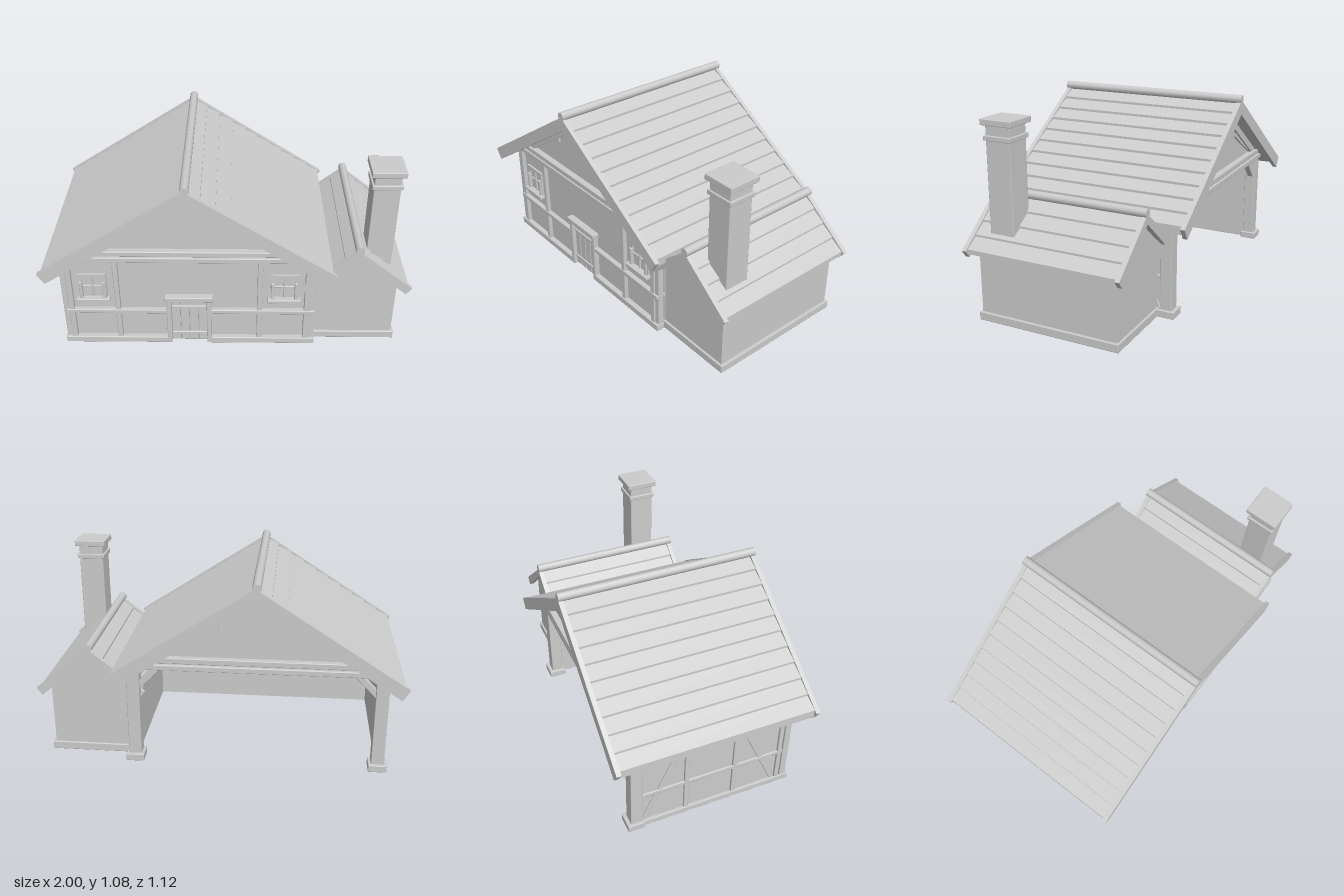
import * as THREE from 'three';
import { RoundedBoxGeometry } from 'three/addons/geometries/RoundedBoxGeometry.js';

const grey = new THREE.MeshStandardMaterial({ color: 0xcccccc });
grey.name = 'plain grey';

const HOUSE_X = -0.21, ANNEX_X = 0.7;

function group(name, parent) {
  const g = new THREE.Group();
  g.name = name;
  parent.add(g);
  return g;
}

function add(parent, name, geometry) {
  const m = new THREE.Mesh(geometry, grey);
  m.name = name;
  parent.add(m);
  return m;
}

// Softly bevelled box given by its limits on each axis
function box(parent, name, x0, x1, y0, y1, z0, z1) {
  const w = x1 - x0, h = y1 - y0, d = z1 - z0;
  const r = Math.min(0.004, Math.min(w, h, d) * 0.3);
  const m = add(parent, name, new RoundedBoxGeometry(w, h, d, 1, r));
  m.position.set((x0 + x1) / 2, (y0 + y1) / 2, (z0 + z1) / 2);
  return m;
}

// Outline in x and y, extruded from z0 to z1
function plate(parent, name, points, z0, z1, hole) {
  const shape = new THREE.Shape(points.map(p => new THREE.Vector2(...p)));
  if (hole) shape.holes.push(hole);
  const geo = new THREE.ExtrudeGeometry(shape, { depth: z1 - z0, bevelEnabled: false });
  const m = add(parent, name, geo);
  m.position.z = z0;
  return m;
}

// Slanted timber in the x-y plane
function brace(parent, name, ax, ay, bx, by, width, z0, z1) {
  const len = Math.hypot(bx - ax, by - ay);
  const m = box(parent, name, -len / 2, len / 2, -width / 2, width / 2, z0, z1);
  m.position.x = (ax + bx) / 2;
  m.position.y = (ay + by) / 2;
  m.rotation.z = Math.atan2(by - ay, bx - ax);
}

// Lapped plank roof with verge boards and a ridge pole
function roof(parent, name, cx, o) {
  const g = group(name, parent);
  g.position.x = cx;
  for (const s of [-1, 1]) {
    const pts = [];
    for (let i = 0; i < o.planks; i++) {
      const a = o.width * i / o.planks, b = o.width * (i + 1) / o.planks;
      pts.push([s * a, o.top - o.slope * a - o.lap], [s * b, o.top - o.slope * b]);
    }
    pts.push([s * o.width, o.top - o.slope * o.width - o.thick], [0, o.top - o.thick - 0.012]);
    plate(g, 'roofPlanks', pts, o.z0 + 0.02, o.z1 - 0.02);
  }
  const [apex, ex, ey, fx, fy, inner] = o.verge;
  const verge = [[0, apex], [-ex, ey], [-fx, fy], [0, inner], [fx, fy], [ex, ey]];
  plate(g, 'vergeBoard', verge, o.z0, o.z0 + 0.025);
  plate(g, 'vergeBoard', verge, o.z1 - 0.025, o.z1);
  const geo = new THREE.CylinderGeometry(0.024, 0.024, o.z1 - o.z0 + 0.002, 10).rotateX(Math.PI / 2);
  add(g, 'ridgePole', geo).position.set(0, apex + 0.005, (o.z0 + o.z1) / 2);
}

// Trim of one gable: tie beams, rafters and corner braces
function gableTrim(parent, turn) {
  const g = group('gableTrim', parent);
  g.position.x = HOUSE_X;
  g.rotation.y = turn;
  box(g, 'lowerTieBeam', -0.66, 0.66, 0.562, 0.592, 0.425, 0.48);
  box(g, 'tieBeamCore', -0.62, 0.62, 0.588, 0.61, 0.425, 0.46);
  box(g, 'upperTieBeam', -0.58, 0.58, 0.605, 0.636, 0.425, 0.485);
  const hole = new THREE.Path([[-0.48, 0.636], [0.48, 0.636], [0, 0.946]].map(p => new THREE.Vector2(...p)));
  plate(g, 'rafters', [[-0.57, 0.625], [0.57, 0.625], [0, 0.993]], 0.445, 0.472, hole);
  for (const s of [-1, 1])
    plate(g, 'cornerBrace', [[s * 0.47, 0.64], [s * 0.2, 0.815], [s * 0.2, 0.79], [s * 0.3, 0.73]], 0.448, 0.462);
}

// Arched window with cross bars and a sill
function windowUnit(parent, x, z, turn) {
  const g = group('window', parent);
  g.position.set(x, 0, z);
  g.rotation.y = turn;
  const arch = new THREE.Path();
  arch.moveTo(-0.056, 0.315);
  arch.lineTo(0.056, 0.315);
  arch.lineTo(0.056, 0.43);
  arch.quadraticCurveTo(0, 0.475, -0.056, 0.43);
  arch.closePath();
  plate(g, 'windowSurround', [[-0.078, 0.305], [0.078, 0.305], [0.078, 0.47], [-0.078, 0.47]], 0, 0.012, arch);
  for (const s of [-1, 1]) box(g, 'windowJamb', s * 0.064 - 0.009, s * 0.064 + 0.009, 0.31, 0.42, 0, 0.022);
  box(g, 'mullion', -0.005, 0.005, 0.315, 0.452, -0.002, 0.009);
  box(g, 'glazingBar', -0.056, 0.056, 0.383, 0.393, -0.002, 0.009);
  box(g, 'windowSill', -0.092, 0.092, 0.295, 0.315, -0.002, 0.036);
}

// Timber frame of a side wall, built facing +z and then turned outward
function sideFrame(parent, x, turn) {
  const g = group('sideFrame', parent);
  g.position.x = x;
  g.rotation.y = turn;
  const s = Math.sign(turn); // front of the house lies at -s in local x
  box(g, 'sideSill', -0.44, 0.44, 0, 0.036, 0, 0.02);
  box(g, 'sideRail', -0.43, 0.43, 0.21, 0.235, 0, 0.015);
  box(g, 'sidePlate', -0.43, 0.43, 0.5, 0.53, 0, 0.015);
  for (const px of [-0.41, -0.14, 0.14, 0.41]) box(g, 'sidePost', px - 0.013, px + 0.013, 0.02, 0.53, 0, 0.016);
  for (const e of [-1, 1]) brace(g, 'sideBrace', e * s * 0.38, 0.04, e * s * 0.17, 0.5, 0.025, 0, 0.013);
}

function house(root) {
  const g = group('house', root);

  // Walls, open at the back
  plate(g, 'frontWall', [[-0.89, 0], [0.47, 0], [0.47, 0.545], [HOUSE_X, 0.99], [-0.89, 0.545]], 0.43, 0.45);
  plate(g, 'backGable', [[-0.84, 0.575], [0.42, 0.575], [HOUSE_X, 0.99]], -0.45, -0.43);
  box(g, 'leftWall', -0.89, -0.87, 0, 0.565, -0.42, 0.44);
  box(g, 'rightWall', 0.45, 0.47, 0, 0.565, -0.42, 0.44);
  sideFrame(g, -0.89, -Math.PI / 2);
  sideFrame(g, 0.47, Math.PI / 2);
  gableTrim(g, 0);
  gableTrim(g, Math.PI);

  // Front timbers
  box(g, 'frontSillLeft', -0.91, -0.33, 0, 0.038, 0.43, 0.48);
  box(g, 'frontSillRight', -0.09, 0.49, 0, 0.038, 0.43, 0.48);
  box(g, 'frontRailLeft', -0.89, -0.33, 0.21, 0.235, 0.44, 0.477);
  box(g, 'frontRailRight', -0.09, 0.485, 0.21, 0.235, 0.44, 0.477);
  for (const [a, b] of [[-0.875, -0.845], [-0.616, -0.588], [0.166, 0.194], [0.425, 0.455]])
    box(g, 'frontPost', a, b, 0.03, 0.57, 0.44, 0.473);
  box(g, 'cornerPost', -0.905, -0.872, 0.03, 0.54, 0.43, 0.465);
  box(g, 'cornerPost', 0.452, 0.485, 0.03, 0.54, 0.43, 0.465);

  // Door
  const d = group('door', g);
  d.position.x = HOUSE_X;
  for (const s of [-1, 1]) box(d, 'doorPost', s * 0.111 - 0.013, s * 0.111 + 0.013, 0, 0.31, 0.44, 0.48);
  box(d, 'doorLintel', -0.133, 0.133, 0.303, 0.33, 0.44, 0.49);
  for (let i = 0; i < 4; i++) box(d, 'doorPlank', -0.099 + i * 0.05, -0.051 + i * 0.05, 0.005, 0.303, 0.44, 0.458);
  for (const y of [0.052, 0.24]) box(d, 'doorBand', -0.098, 0.098, y, y + 0.017, 0.445, 0.466);

  // Windows seen outside and inside
  for (const x of [-0.733, 0.313]) {
    windowUnit(g, x, 0.45, 0);
    windowUnit(g, x, 0.43, Math.PI);
  }

  // Rear posts with feet and knee braces
  for (const s of [-1, 1]) {
    const x = HOUSE_X + s * 0.665;
    box(g, 'rearPost', x - 0.035, x + 0.035, 0.03, 0.56, -0.455, -0.388);
    box(g, 'rearPostFoot', x - 0.05, x + 0.05, 0.005, 0.045, -0.475, -0.378);
    brace(g, 'kneeBrace', x - s * 0.02, 0.44, x - s * 0.15, 0.575, 0.035, -0.44, -0.405);
  }

  roof(g, 'houseRoof', HOUSE_X, {
    planks: 10, width: 0.77, top: 1.047, slope: 0.645, lap: 0.013, thick: 0.046, z0: -0.56, z1: 0.56,
    verge: [1.05, 0.79, 0.54, 0.752, 0.48, 0.97],
  });
}

function annex(root) {
  const g = group('annex', root);
  const wall = [[0.47, 0], [0.93, 0], [0.93, 0.41], [ANNEX_X, 0.6], [0.47, 0.41]];
  plate(g, 'annexFrontWall', wall, 0.4, 0.42);
  plate(g, 'annexBackWall', wall, -0.37, -0.35);
  box(g, 'annexSideWall', 0.91, 0.93, 0, 0.42, -0.365, 0.415);

  // Plinth
  box(g, 'plinthFront', 0.47, 0.945, 0.005, 0.05, 0.39, 0.432);
  box(g, 'plinthBack', 0.47, 0.945, 0.005, 0.05, -0.382, -0.34);
  box(g, 'plinthSide', 0.9, 0.945, 0.005, 0.05, -0.382, 0.432);

  roof(g, 'annexRoof', ANNEX_X, {
    planks: 4, width: 0.283, top: 0.635, slope: 0.81, lap: 0.011, thick: 0.025, z0: -0.418, z1: 0.478,
    verge: [0.64, 0.3, 0.4, 0.27, 0.36, 0.588],
  });
}

function chimney(root) {
  const g = group('chimney', root);
  box(g, 'chimneyStack', 0.752, 0.892, 0.42, 1.045, 0.23, 0.372);
  box(g, 'chimneyCollar', 0.742, 0.903, 0.96, 0.986, 0.22, 0.38);
  box(g, 'chimneyCap', 0.733, 0.912, 1.038, 1.07, 0.208, 0.39);
}

export function createModel() {
  const root = new THREE.Group();
  root.name = 'cottage';
  house(root);
  annex(root);
  chimney(root);
  return root;
}
